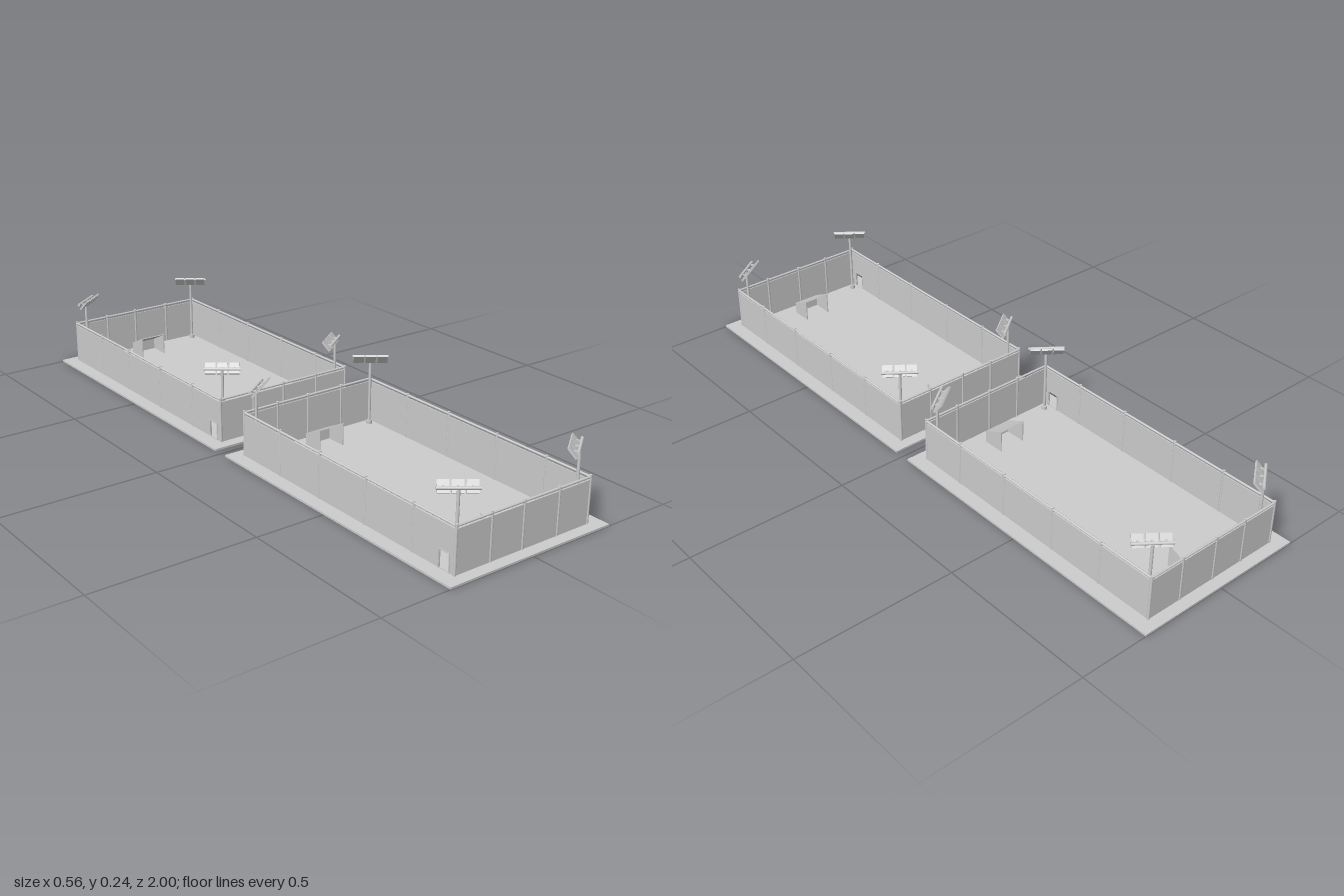
import * as THREE from 'three';

const grey = new THREE.MeshStandardMaterial({ color: 0xcccccc });
grey.name = 'light grey';

function add(parent, name, geometry, x = 0, y = 0, z = 0) {
  const m = new THREE.Mesh(geometry, grey);
  m.name = name;
  m.position.set(x, y, z);
  parent.add(m);
  return m;
}
const box = (w, h, d) => new THREE.BoxGeometry(w, h, d);
const rod = (r, h) => new THREE.CylinderGeometry(r, r, h, 12);

const HX = 0.236, HZ = 0.45, WALL = 0.134, T = 0.003;

// Mesh wall along z with an optional doorway near its +z end
function sideWall(x, hasDoor) {
  const s = new THREE.Shape();
  s.moveTo(-HZ, 0).lineTo(HZ, 0).lineTo(HZ, WALL).lineTo(-HZ, WALL).closePath();
  if (hasDoor) {
    const h = new THREE.Path();
    h.moveTo(0.395, 0.008).lineTo(0.395, 0.058).lineTo(0.43, 0.058).lineTo(0.43, 0.008).closePath();
    s.holes.push(h);
  }
  const g = new THREE.ExtrudeGeometry(s, { depth: T, bevelEnabled: false });
  g.rotateY(-Math.PI / 2); // shape x becomes z
  g.translate(x + T / 2, 0, 0);
  return g;
}

function createFence() {
  const fence = new THREE.Group();
  fence.name = 'fence';
  for (const s of [-1, 1]) {
    add(fence, 'endWall', box(HX * 2, WALL, T), 0, WALL / 2, s * HZ);
    add(fence, 'endRail', rod(0.0035, HX * 2), 0, 0.142, s * HZ).rotation.z = Math.PI / 2;
    add(fence, 'sideWall', sideWall(s * HX, s < 0));
    add(fence, 'sideRail', rod(0.0035, HZ * 2), s * HX, 0.142, 0).rotation.x = Math.PI / 2;
    for (const x of [-HX, -0.117, -0.005, 0.121, HX])
      add(fence, 'endPost', rod(0.004, 0.148), x, 0.074, s * HZ);
    for (const z of [-0.272, -0.09, 0.107, 0.295])
      add(fence, 'sidePost', rod(0.004, 0.148), s * HX, 0.074, z);
  }
  // Door frame
  for (const z of [0.393, 0.432]) add(fence, 'doorPost', box(0.006, 0.06, 0.003), -HX, 0.03, z);
  add(fence, 'doorLintel', box(0.006, 0.003, 0.042), -HX, 0.0595, 0.4125);
  return fence;
}

// Goal opening toward +z, with a roof sloping down to the back
function createGoal() {
  const goal = new THREE.Group();
  goal.name = 'goal';
  const s = new THREE.Shape();
  s.moveTo(-0.034, 0).lineTo(0.034, 0).lineTo(0.034, 0.075).lineTo(-0.034, 0.042).closePath();
  for (const x of [-0.043, 0.043]) {
    const g = new THREE.ExtrudeGeometry(s, { depth: T, bevelEnabled: false });
    g.rotateY(-Math.PI / 2);
    g.translate(T / 2, 0, 0);
    add(goal, 'goalSide', g, x);
  }
  add(goal, 'goalBack', box(0.086, 0.042, T), 0, 0.021, -0.033);
  add(goal, 'goalRoof', box(0.089, T, 0.076), 0, 0.0585, 0).rotation.x = -Math.atan2(0.033, 0.068);
  return goal;
}

// Floodlight mast shining toward local +z
function createFloodlight() {
  const mast = new THREE.Group();
  mast.name = 'floodlight';
  add(mast, 'mastBase', rod(0.009, 0.012), 0, 0.011, 0);
  add(mast, 'mastPole', rod(0.0045, 0.222), 0, 0.111, 0);
  add(mast, 'crossbar', rod(0.0045, 0.11), 0, 0.226, 0).rotation.z = Math.PI / 2;
  for (const x of [-0.036, 0, 0.036]) {
    add(mast, 'lampBracket', box(0.005, 0.004, 0.014), x, 0.225, 0.007);
    add(mast, 'lamp', box(0.031, 0.036, 0.006), x, 0.223, 0.015).rotation.x = 0.7;
  }
  return mast;
}

function createCourt() {
  const court = new THREE.Group();
  court.name = 'court';
  add(court, 'floor', box(0.564, 0.006, 0.974), 0, 0.003, 0);
  court.add(createFence());
  for (const s of [-1, 1]) {
    const goal = createGoal();
    goal.position.z = s * 0.372;
    goal.rotation.y = s > 0 ? Math.PI : 0;
    court.add(goal);
    // Corner lights turned toward the court centre
    for (const x of [-0.211, 0.215]) {
      const mast = createFloodlight();
      mast.position.set(x, 0, s * 0.425);
      mast.rotation.y = Math.atan2(-Math.sign(x) * 0.6, -s * 0.8);
      court.add(mast);
    }
  }
  return court;
}

export function createModel() {
  const model = new THREE.Group();
  model.name = 'twinSportsCourts';
  for (const s of [-1, 1]) {
    const court = createCourt();
    court.position.z = s * 0.513;
    model.add(court);
  }
  return model;
}
